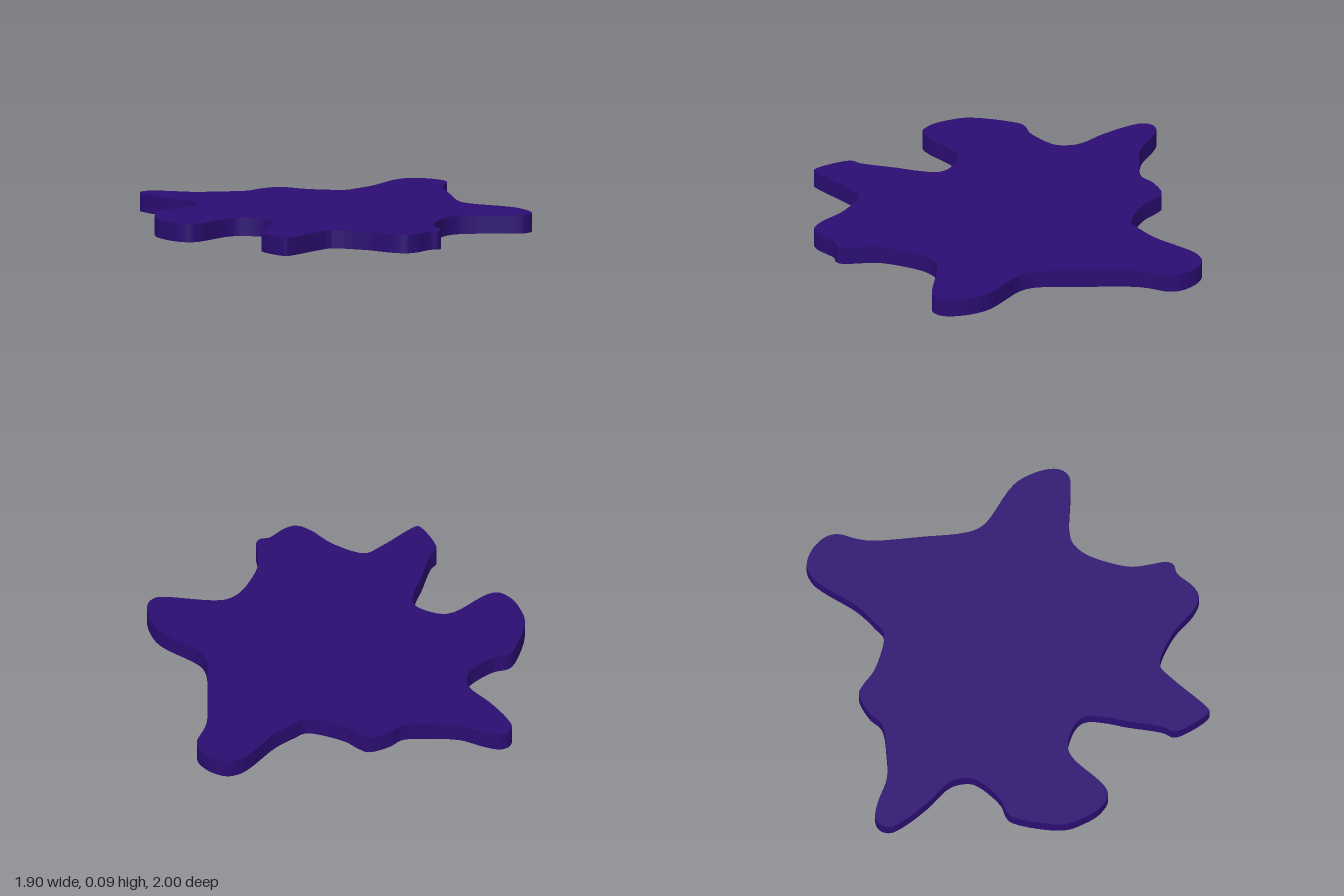
import * as THREE from 'three';

const THICKNESS = 0.09;

// Splat outline as x, z pairs, lobe by lobe
const OUTLINE = [
  // back lobe and right flank
  0.38, -1.0, 0.46, -0.98, 0.53, -0.92, 0.55, -0.86, 0.53, -0.76, 0.525, -0.69, 0.56, -0.44, 0.585, -0.27, 0.61, -0.19,
  // left-hand (+x) lobe
  0.65, -0.14, 0.85, -0.02, 0.91, 0.06, 0.945, 0.16, 0.94, 0.215, 0.91, 0.25, 0.86, 0.26, 0.64, 0.265, 0.57, 0.285,
  // front lobes
  0.52, 0.34, 0.48, 0.45, 0.46, 0.58, 0.48, 0.68, 0.495, 0.75, 0.48, 0.785, 0.44, 0.8, 0.37, 0.89, 0.32, 0.915,
  0.25, 0.89, 0.13, 0.8, -0.04, 0.745, -0.1, 0.8, -0.24, 0.98, -0.265, 0.998, -0.35, 0.9, -0.38, 0.83, -0.36, 0.78,
  -0.34, 0.6, -0.325, 0.5, -0.325, 0.4, -0.36, 0.355,
  // front lobe on the -x side
  -0.48, 0.32, -0.54, 0.345, -0.68, 0.51, -0.73, 0.53, -0.8, 0.49, -0.85, 0.42, -0.89, 0.32, -0.865, 0.07, -0.84, 0.04,
  // back lobe on the -x side
  -0.78, 0.01, -0.69, -0.1, -0.675, -0.15, -0.7, -0.24, -0.81, -0.34, -0.91, -0.45, -0.95, -0.52, -0.94, -0.57,
  -0.9, -0.595, -0.82, -0.585, -0.7, -0.55, -0.55, -0.56, -0.42, -0.59,
  // small back bump
  -0.37, -0.65, -0.27, -0.71, -0.22, -0.69, -0.14, -0.64, 0.05, -0.605, 0.1, -0.65, 0.18, -0.74, 0.28, -0.92, 0.32, -0.97,
];

export function createModel() {
  const group = new THREE.Group();
  group.name = 'splat';

  // Smooth closed curve through the outline
  const points = [];
  for (let i = 0; i < OUTLINE.length; i += 2) points.push(new THREE.Vector3(OUTLINE[i], OUTLINE[i + 1], 0));
  const curve = new THREE.CatmullRomCurve3(points, true, 'centripetal');
  const smooth = curve.getPoints(points.length * 5).slice(0, -1).map((p) => new THREE.Vector2(p.x, p.y));

  // Flat slab lying on the ground
  const geometry = new THREE.ExtrudeGeometry(new THREE.Shape(smooth), { depth: THICKNESS, bevelEnabled: false });
  geometry.rotateX(Math.PI / 2);
  geometry.translate(0, THICKNESS, 0);

  const slab = new THREE.Mesh(geometry, new THREE.MeshStandardMaterial({ color: 0x2b0d72 }));
  slab.name = 'splatSlab';
  group.add(slab);
  return group;
}
